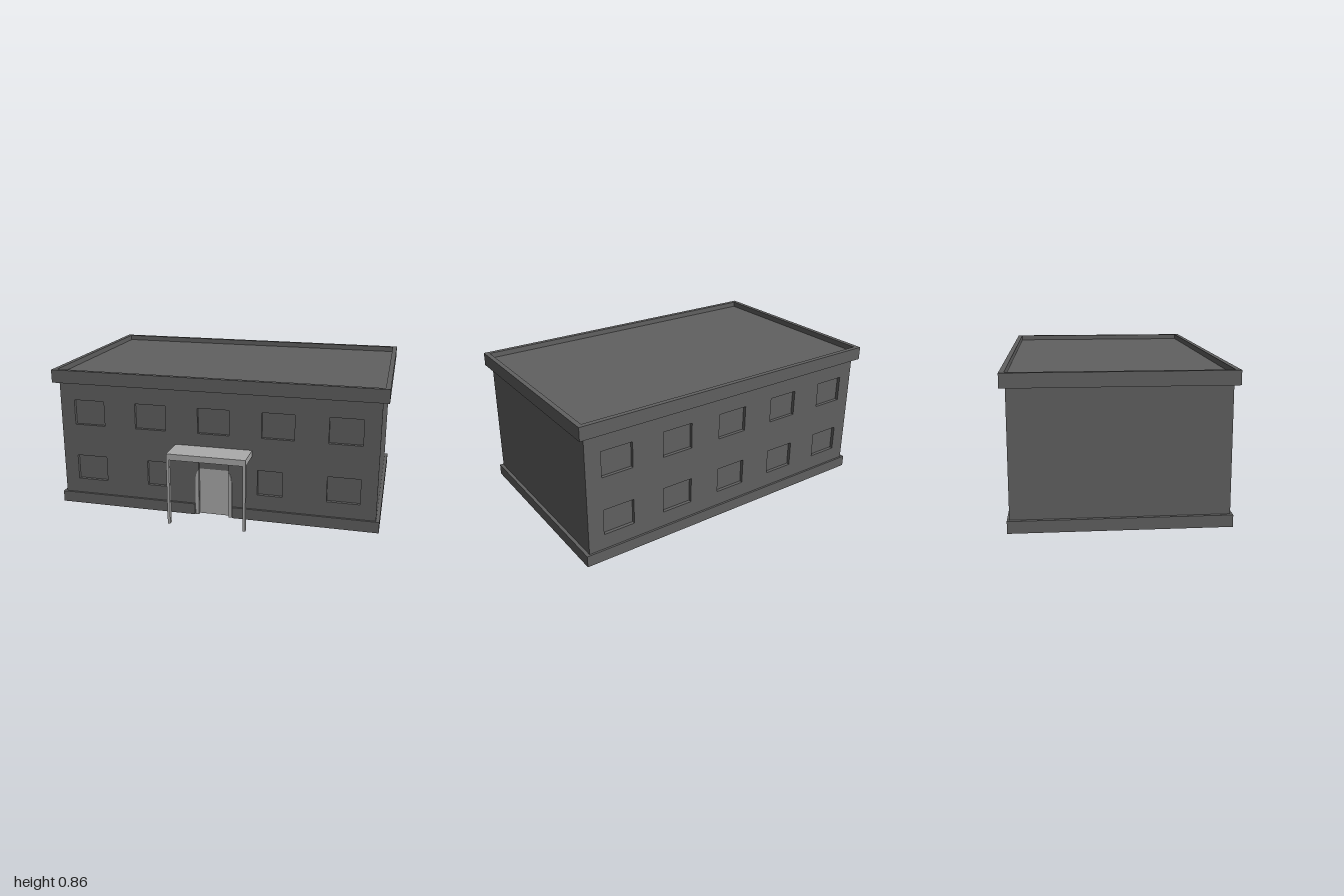
import * as THREE from 'three';

export function createModel() {
  const model = new THREE.Group();
  const wallGrey = new THREE.MeshStandardMaterial({ color: 0x606060, side: THREE.DoubleSide });
  wallGrey.name = 'wallGrey';
  const paleGrey = new THREE.MeshStandardMaterial({ color: 0xababab, side: THREE.DoubleSide });
  paleGrey.name = 'paleGrey';

  const FRONT = 0.52, BACK = -0.665, HALF = 0.965, TOP = 0.8, T = 0.03;

  function add(name, geometry, material, parent = model) {
    const mesh = new THREE.Mesh(geometry, material);
    mesh.name = name;
    parent.add(mesh);
    return mesh;
  }

  // Box given by its extents
  function block(name, x0, x1, y0, y1, z0, z1, material = wallGrey, parent = model) {
    const mesh = add(name, new THREE.BoxGeometry(x1 - x0, y1 - y0, z1 - z0), material, parent);
    mesh.position.set((x0 + x1) / 2, (y0 + y1) / 2, (z0 + z1) / 2);
    return mesh;
  }

  function rectPath(x0, x1, y0, y1) {
    return new THREE.Path([[x0, y0], [x0, y1], [x1, y1], [x1, y0]].map(p => new THREE.Vector2(...p)));
  }

  // Wall pierced by recessed windows, optionally with a doorway
  function windowWall(name, outer, inward, windows, doorway) {
    const group = new THREE.Group();
    group.name = name;
    model.add(group);
    const outline = [[-HALF, 0]];
    if (doorway) outline.push([-0.092, 0], [-0.092, 0.353], [0.092, 0.353], [0.092, 0]);
    outline.push([HALF, 0], [HALF, TOP], [-HALF, TOP]);
    const shape = new THREE.Shape(outline.map(p => new THREE.Vector2(...p)));
    for (const w of windows) shape.holes.push(rectPath(...w));
    const wall = add('wall', new THREE.ExtrudeGeometry(shape, { depth: T, bevelEnabled: false }), wallGrey, group);
    wall.position.z = Math.min(outer, outer + inward * T);
    const zp = outer + inward * 0.022;
    for (const w of windows) block('windowPane', ...w, zp - 0.002, zp + 0.002, wallGrey, group);
  }

  const centres = [-0.78, -0.39, 0, 0.385, 0.773];
  const row = (xs, half, y0, y1) => xs.map(x => [x - half, x + half, y0, y1]);
  const upper = row(centres, 0.096, 0.515, 0.67);
  const lower = row(centres, 0.096, 0.16, 0.315);
  windowWall('frontWall', FRONT, -1, [
    ...upper, lower[0], [-0.417, -0.272, 0.16, 0.315], [0.267, 0.417, 0.16, 0.315], lower[4],
  ], true);
  windowWall('backWall', BACK, 1, [...upper, ...lower], false);

  // Blank side walls and roof deck
  for (const s of [-1, 1]) {
    const a = s * HALF, b = s * (HALF - T);
    block('sideWall', Math.min(a, b), Math.max(a, b), 0, TOP, BACK + T, FRONT - T);
  }
  block('roof', -0.97, 0.97, 0.795, 0.825, -0.67, 0.525);

  // Overhanging parapet
  const rim = new THREE.Shape(rectPath(-1, 1, -0.55, 0.695).getPoints());
  rim.holes.push(rectPath(-0.972, 0.972, -0.522, 0.667));
  const parapet = add('parapet', new THREE.ExtrudeGeometry(rim, { depth: 0.079, bevelEnabled: false }), wallGrey);
  parapet.rotation.x = -Math.PI / 2;
  parapet.position.y = 0.778;
  block('parapetSoffit', -0.99, 0.99, 0.779, 0.797, 0.515, 0.54);
  block('parapetSoffit', -0.99, 0.99, 0.779, 0.797, -0.685, -0.66);
  for (const s of [-1, 1]) block('parapetSoffit', s * 0.975 - 0.015, s * 0.975 + 0.015, 0.779, 0.797, -0.68, 0.54);

  // Plinth, broken at the door
  const P = 0.068;
  block('plinthBack', -0.985, 0.985, 0, P, -0.677, BACK);
  for (const s of [-1, 1]) {
    block('plinthSide', s * 0.975 - 0.01, s * 0.975 + 0.01, 0, P, BACK, FRONT);
    block('plinthFront', s * 0.55 - 0.435, s * 0.55 + 0.435, 0, P, FRONT, 0.533);
  }

  // Door with a dark transom and pale jambs
  block('door', -0.092, 0.092, 0, 0.29, 0.497, 0.503, paleGrey);
  block('transom', -0.092, 0.092, 0.29, 0.353, 0.497, 0.503);
  block('doorLintel', -0.112, 0.112, 0.353, 0.365, FRONT, 0.527);
  for (const s of [-1, 1]) {
    const jamb = new THREE.Shape();
    jamb.moveTo(s * 0.092, 0);
    jamb.lineTo(s * 0.113, 0);
    jamb.lineTo(s * 0.113, 0.2);
    jamb.quadraticCurveTo(s * 0.112, 0.27, s * 0.092, 0.287);
    jamb.closePath();
    const mesh = add('doorJamb', new THREE.ExtrudeGeometry(jamb, { depth: 0.007, bevelEnabled: false, curveSegments: 6 }), paleGrey);
    mesh.position.z = FRONT;
  }

  // Entrance canopy on two posts
  block('canopy', -0.235, 0.235, 0.4, 0.437, FRONT, 0.695, paleGrey);
  for (const s of [-1, 1]) block('canopyPost', s * 0.227 - 0.008, s * 0.227 + 0.008, 0, 0.4, 0.67, 0.695, paleGrey);

  return model;
}
